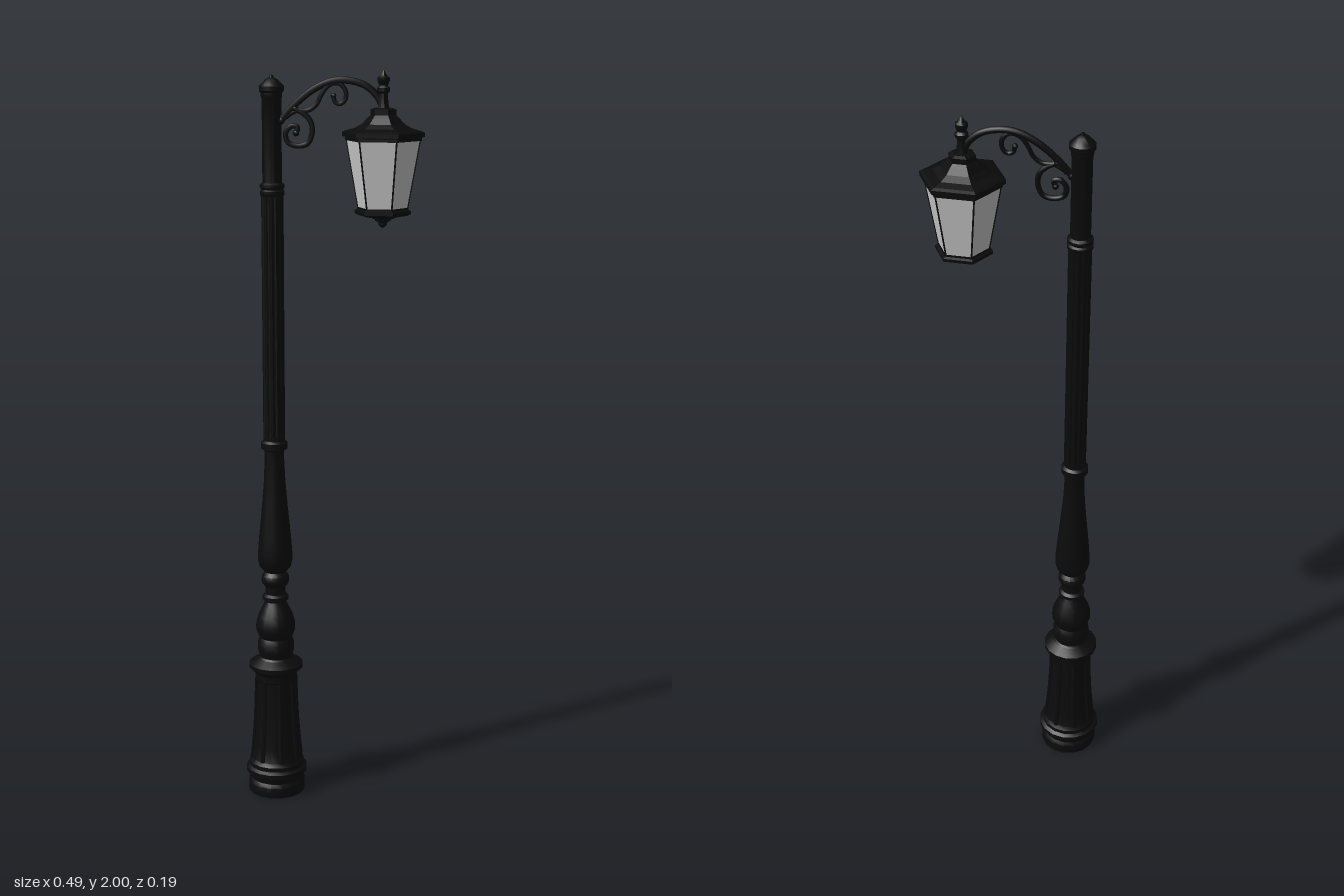
import * as THREE from 'three';
import { toCreasedNormals } from 'three/addons/utils/BufferGeometryUtils.js';

const POLE_X = -0.159, LAMP_X = 0.134;
const iron = new THREE.MeshStandardMaterial({ color: 0x0b0b0b, side: THREE.DoubleSide });
const ironFlat = new THREE.MeshStandardMaterial({ color: 0x0b0b0b, flatShading: true, side: THREE.DoubleSide });
const glass = new THREE.MeshStandardMaterial({ color: 0xcccccc, flatShading: true, side: THREE.DoubleSide });

function add(parent, name, geometry, material) {
  const mesh = new THREE.Mesh(geometry, material);
  mesh.name = name;
  parent.add(mesh);
  return mesh;
}

// Turned part from [radius, height] pairs
function turned(parent, name, profile, sides, material = iron) {
  const points = profile.map(([r, y]) => new THREE.Vector2(r, y));
  let g = new THREE.LatheGeometry(points, sides, Math.PI / 2);
  if (!material.flatShading) g = toCreasedNormals(g, 0.6);
  return add(parent, name, g, material);
}

// Round bar bent through [x, y] points
function bar(parent, name, path, radius) {
  const curve = new THREE.CatmullRomCurve3(path.map(([x, y]) => new THREE.Vector3(x, y, 0)));
  const mesh = add(parent, name, new THREE.TubeGeometry(curve, 48, radius, 8), iron);
  for (const [i, [x, y]] of [[0, path[0]], [1, path[path.length - 1]]]) {
    const knob = add(parent, `${name}End${i}`, new THREE.SphereGeometry(radius * 1.25, 8, 6), iron);
    knob.position.set(x, y, 0);
  }
  return mesh;
}

function createPost() {
  const post = new THREE.Group();
  post.name = 'post';
  turned(post, 'pedestal', [
    [0, 0], [0.078, 0], [0.08, 0.012], [0.08, 0.03], [0.074, 0.04], [0.077, 0.055],
    [0.086, 0.06], [0.086, 0.072], [0.077, 0.078], [0.077, 0.09], [0.07, 0.1],
    [0.065, 0.14], [0.06, 0.2], [0.056, 0.28], [0.054, 0.33], [0.059, 0.335],
    [0.059, 0.352], [0.066, 0.36], [0.075, 0.368], [0.075, 0.38], [0.062, 0.388], [0.05, 0.395],
  ], 16);
  turned(post, 'baluster', [
    [0.05, 0.395], [0.045, 0.4], [0.051, 0.42], [0.051, 0.44], [0.044, 0.455], [0.049, 0.465],
    [0.055, 0.48], [0.055, 0.495], [0.048, 0.52], [0.036, 0.545], [0.029, 0.56], [0.036, 0.566],
    [0.036, 0.576], [0.028, 0.582], [0.028, 0.602], [0.036, 0.612], [0.039, 0.622],
    [0.037, 0.635], [0.028, 0.645], [0.034, 0.65], [0.043, 0.66], [0.048, 0.68],
    [0.048, 0.7], [0.044, 0.75], [0.036, 0.83], [0.03, 0.9], [0.027, 0.965], [0.027, 0.99],
    [0.036, 0.995], [0.036, 1.012], [0.029, 1.018], [0.029, 1.03], [0, 1.03],
  ], 16);

  // Raised ribs framing the pedestal panels
  const ribs = new THREE.CatmullRomCurve3([[0.068, 0.1], [0.064, 0.14], [0.059, 0.2],
    [0.055, 0.28], [0.054, 0.335]].map(([r, y]) => new THREE.Vector3(r, y, 0)));
  const ribGeometry = new THREE.TubeGeometry(ribs, 8, 0.007, 6);
  for (let i = 0; i < 8; i++) {
    add(post, 'pedestalRib', ribGeometry, iron).rotation.y = (i + 0.5) * Math.PI / 4;
  }

  // Fluted shaft
  const outline = [];
  for (let i = 0; i < 48; i++) {
    const a = i * Math.PI / 24, r = i % 4 < 2 ? 0.0295 : 0.027;
    outline.push(new THREE.Vector2(r * Math.cos(a), r * Math.sin(a)));
  }
  const shaft = new THREE.ExtrudeGeometry(new THREE.Shape(outline), { depth: 0.66, bevelEnabled: false });
  shaft.rotateX(-Math.PI / 2).translate(0, 1.02, 0);
  add(post, 'shaft', shaft, iron);

  turned(post, 'upperPost', [
    [0, 1.675], [0.03, 1.675], [0.033, 1.68], [0.033, 1.688], [0.028, 1.692], [0.033, 1.697],
    [0.033, 1.705], [0.026, 1.71], [0.026, 1.925], [0.028, 1.93], [0.028, 1.94], [0.033, 1.945],
    [0.033, 1.957], [0.027, 1.963], [0.016, 1.974], [0.006, 1.979], [0.005, 1.984], [0, 1.986],
  ], 16);
  post.position.x = POLE_X;
  return post;
}

function createBracket() {
  const bracket = new THREE.Group();
  bracket.name = 'bracket';
  bar(bracket, 'arm', [[-0.135, 1.87], [-0.1, 1.908], [-0.05, 1.948], [0, 1.97], [0.045, 1.972],
    [0.09, 1.958], [0.12, 1.93], [0.134, 1.9]], 0.009);
  bar(bracket, 'upperScroll', [[0.004, 1.933], [0.008, 1.918], [0.022, 1.913], [0.035, 1.925],
    [0.035, 1.948], [0.018, 1.965], [-0.008, 1.96], [-0.028, 1.935], [-0.04, 1.912],
    [-0.062, 1.896], [-0.092, 1.895], [-0.12, 1.88]], 0.006);
  bar(bracket, 'lowerScroll', [[-0.095, 1.838], [-0.09, 1.852], [-0.106, 1.856], [-0.122, 1.838],
    [-0.116, 1.814], [-0.09, 1.805], [-0.064, 1.812], [-0.052, 1.84], [-0.056, 1.868],
    [-0.075, 1.888], [-0.098, 1.9]], 0.007);
  return bracket;
}

function createLantern() {
  const lantern = new THREE.Group();
  lantern.name = 'lantern';
  turned(lantern, 'roof', [
    [0, 1.822], [0.1, 1.822], [0.1, 1.83], [0.108, 1.832], [0.108, 1.843], [0.098, 1.847],
    [0.075, 1.853], [0.055, 1.864], [0.042, 1.878], [0.034, 1.886], [0.034, 1.9], [0.024, 1.904], [0, 1.906],
  ], 6, ironFlat);
  turned(lantern, 'topFinial', [
    [0.016, 1.9], [0.013, 1.915], [0.011, 1.94], [0.017, 1.946], [0.017, 1.954], [0.011, 1.96],
    [0.016, 1.972], [0.016, 1.98], [0.009, 1.985], [0.004, 1.994], [0, 2],
  ], 10);
  turned(lantern, 'glassPanes', [[0.064, 1.645], [0.096, 1.824]], 6, glass);
  turned(lantern, 'lowerFrame', [
    [0, 1.651], [0.067, 1.651], [0.067, 1.646], [0.074, 1.643], [0.074, 1.635], [0.064, 1.63],
    [0.034, 1.625], [0.024, 1.62], [0, 1.62],
  ], 6, ironFlat);
  turned(lantern, 'bottomFinial', [
    [0.022, 1.624], [0.02, 1.616], [0.012, 1.612], [0.012, 1.607], [0.006, 1.601], [0, 1.597],
  ], 10);

  // Thin bars along the corners of the glass
  for (let i = 0; i < 6; i++) {
    const a = i * Math.PI / 3, c = Math.cos(a), s = Math.sin(a);
    const edge = new THREE.LineCurve3(
      new THREE.Vector3(0.064 * c, 1.645, 0.064 * s), new THREE.Vector3(0.096 * c, 1.825, 0.096 * s));
    add(lantern, 'cornerBar', new THREE.TubeGeometry(edge, 1, 0.0022, 6), iron);
  }
  lantern.position.x = LAMP_X;
  return lantern;
}

export function createModel() {
  const model = new THREE.Group();
  model.name = 'streetLamp';
  model.add(createPost(), createBracket(), createLantern());
  return model;
}
